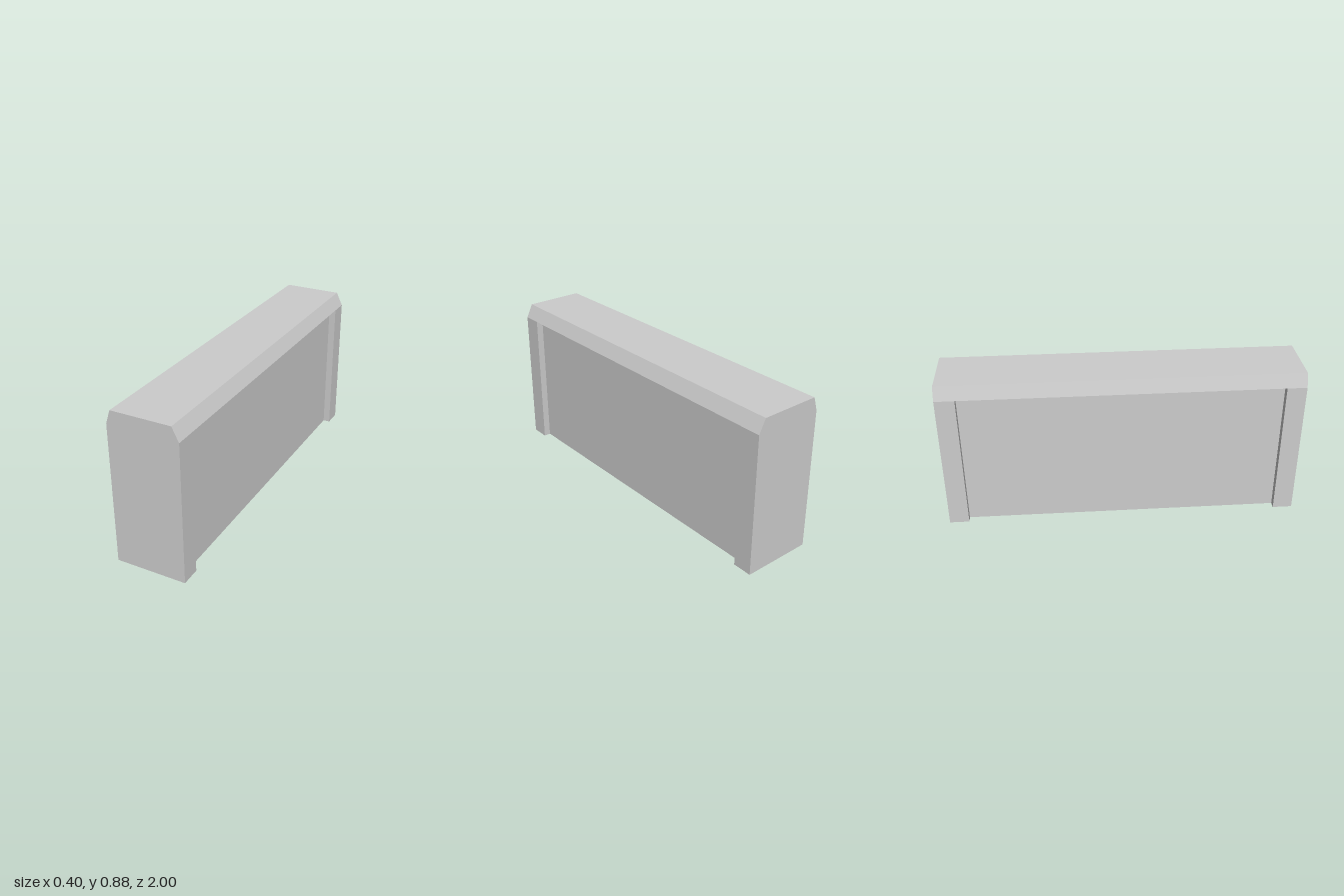
import * as THREE from 'three';

const HALF_LENGTH = 1, HALF_WIDTH = 0.2, PANEL = 0.16, RECESS_END = 0.89;
const WALL_TOP = 0.8, TOP = 0.877;

function shapeFrom(points) {
  return new THREE.Shape(points.map(([x, y]) => new THREE.Vector2(x, y)));
}

export function createModel() {
  const group = new THREE.Group();
  group.name = 'wallBlock';
  const stone = new THREE.MeshStandardMaterial({ color: 0xcccccc, flatShading: true });
  stone.name = 'light grey';

  // Body: plan outline with a long recess on both sides, raised to the cap
  const plan = shapeFrom([
    [-HALF_WIDTH, -HALF_LENGTH], [HALF_WIDTH, -HALF_LENGTH],
    [HALF_WIDTH, -RECESS_END], [PANEL, -RECESS_END],
    [PANEL, RECESS_END], [HALF_WIDTH, RECESS_END],
    [HALF_WIDTH, HALF_LENGTH], [-HALF_WIDTH, HALF_LENGTH],
    [-HALF_WIDTH, RECESS_END], [-PANEL, RECESS_END],
    [-PANEL, -RECESS_END], [-HALF_WIDTH, -RECESS_END],
  ]);
  const bodyGeometry = new THREE.ExtrudeGeometry(plan, { depth: WALL_TOP, bevelEnabled: false });
  bodyGeometry.rotateX(-Math.PI / 2);
  const body = new THREE.Mesh(bodyGeometry, stone);
  body.name = 'recessedBody';

  // Cap: slightly uneven chamfers, running the full length
  const section = shapeFrom([
    [-HALF_WIDTH, WALL_TOP], [HALF_WIDTH, WALL_TOP], [0.162, TOP], [-0.175, TOP],
  ]);
  const capGeometry = new THREE.ExtrudeGeometry(section, { depth: 2 * HALF_LENGTH, bevelEnabled: false });
  capGeometry.translate(0, 0, -HALF_LENGTH);
  const cap = new THREE.Mesh(capGeometry, stone);
  cap.name = 'chamferedCap';

  group.add(body, cap);
  return group;
}
